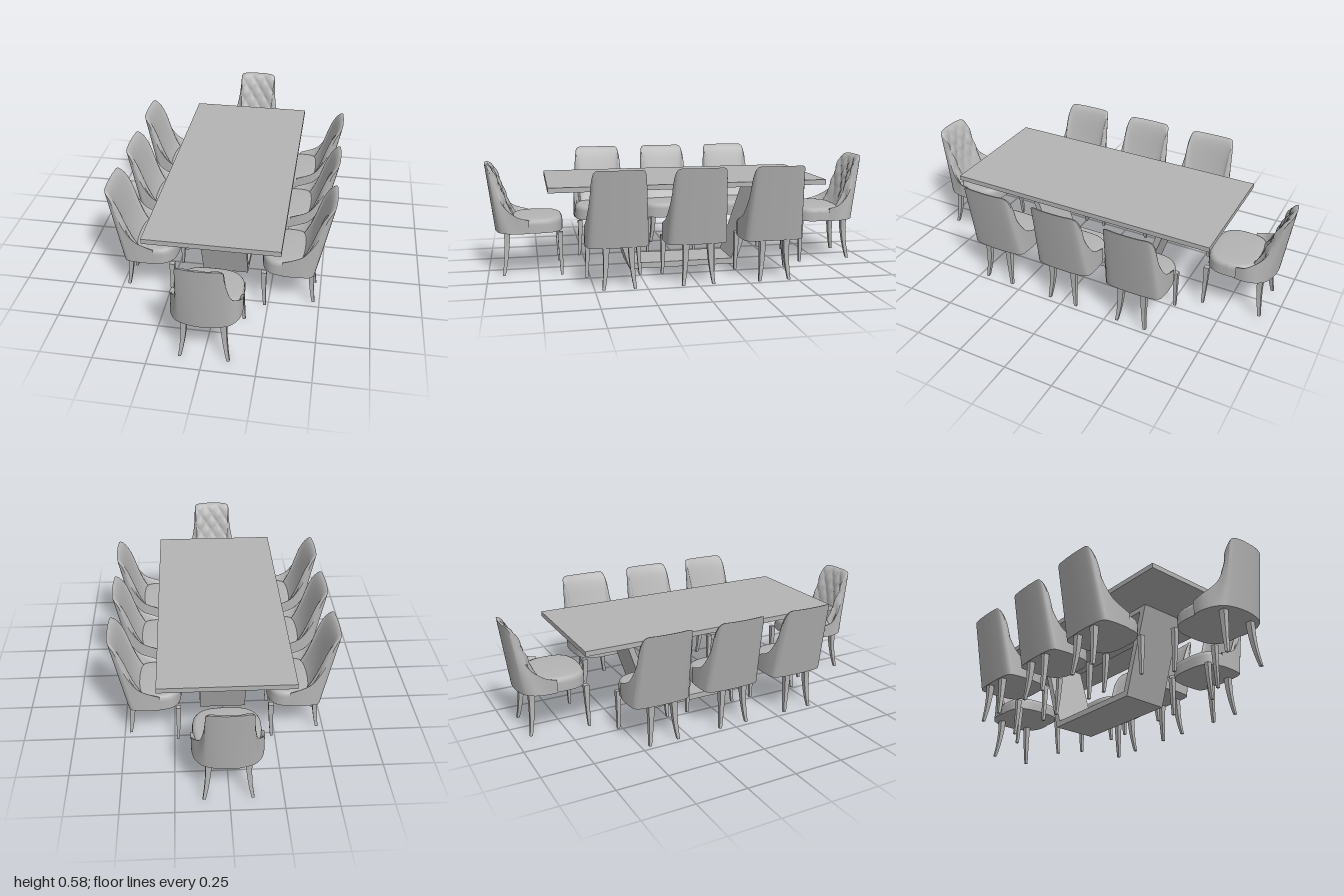
import * as THREE from 'three';

const grey = new THREE.MeshStandardMaterial({ color: 0xb4b4b4, side: THREE.DoubleSide });
grey.name = 'plain grey';

const lerp = THREE.MathUtils.lerp;
const V = (x, y, z) => new THREE.Vector3(x, y, z);

function part(name, geometry) {
  const m = new THREE.Mesh(geometry, grey);
  m.name = name;
  return m;
}

// Smooth surface through f(u, v), u and v running 0..1
function surface(f, nu, nv) {
  const pos = [], index = [];
  for (let j = 0; j <= nv; j++)
    for (let i = 0; i <= nu; i++) pos.push(...f(i / nu, j / nv).toArray());
  for (let j = 0; j < nv; j++)
    for (let i = 0; i < nu; i++) {
      const a = j * (nu + 1) + i, b = a + nu + 1;
      index.push(a, b, a + 1, b, b + 1, a + 1);
    }
  const g = new THREE.BufferGeometry();
  g.setAttribute('position', new THREE.Float32BufferAttribute(pos, 3));
  g.setIndex(index);
  g.computeVertexNormals();
  return g;
}

// Curve from one wing round the back to the other wing
function mirrored(half) {
  const pts = half.map(([x, y, z]) => V(x, y, -z));
  const other = half.slice(0, -1).reverse().map(([x, y, z]) => V(-x, y, -z));
  return new THREE.CatmullRomCurve3([...pts, ...other], false, 'centripetal');
}

// Tapered square leg, bowed outwards towards the foot
function leg(name, top, foot, wTop, wFoot, height) {
  const g = new THREE.BoxGeometry(1, 1, 1, 1, 8, 1);
  const p = g.attributes.position;
  for (let i = 0; i < p.count; i++) {
    const t = 0.5 - p.getY(i), w = lerp(wTop, wFoot, t), bow = t * t;
    p.setXYZ(i, lerp(top[0], foot[0], bow) + p.getX(i) * w, height * (1 - t),
      -lerp(top[1], foot[1], bow) + p.getZ(i) * w);
  }
  g.computeVertexNormals();
  return part(name, g);
}

// Chair facing +z; depths are measured back from the table centre
function makeChair(name, c) {
  const chair = new THREE.Group();
  chair.name = name;
  const rim = mirrored(c.rim), base = mirrored(c.base.map(([x, z]) => [x, c.y0, z]));
  const yWing = c.rim[0][1], yTop = c.rim[c.rim.length - 1][1];

  // Outer upholstery, from the base outline up to the rim
  chair.add(part('outerShell', surface((u, v) =>
    base.getPoint(u).lerp(rim.getPoint(u), v), 56, 8)));

  // Inner back, falling from the rim in a hollow curve to the seat
  chair.add(part('innerBack', surface((u, v) => {
    const T = rim.getPoint(u);
    const w = THREE.MathUtils.clamp((T.y - yWing) / (yTop - yWing), 0, 1);
    const S = V(T.x * 0.86, yWing - 0.018, T.z + 0.15 * w);
    const P1 = V(T.x * 0.95, T.y, T.z + 0.05 * w);
    const P2 = V(T.x * 0.9, lerp(S.y, T.y, 0.3), T.z + 0.07 * w);
    const p = new THREE.CubicBezierCurve3(T, P1, P2, S).getPoint(v);
    if (c.tufted) {
      // Diamond tufting
      const a = p.x / 0.07 + p.y / 0.1, b = p.x / 0.07 - p.y / 0.1;
      const puff = Math.sqrt(Math.abs(Math.sin(Math.PI * a) * Math.sin(Math.PI * b)));
      p.z += 0.014 * (puff - 0.4) * w * Math.sin(Math.PI * Math.min(1, v * 1.1));
    }
    return p;
  }, c.tufted ? 80 : 56, c.tufted ? 40 : 16)));

  // Flat underside of the back half
  chair.add(part('underside', surface((u, v) => {
    const p = base.getPoint(u);
    return v === 0 ? V(0, c.y0, -c.base[0][1]) : p;
  }, 56, 1)));

  // Domed seat cushion with a rounded-square plan
  const s = c.seat;
  const rings = [[1, c.y0], [1, s.y - 0.03], [0.985, s.y - 0.016], [0.94, s.y - 0.006], [0.86, s.y - 0.001], [0.5, s.y + 0.001], [0, s.y + 0.002]];
  const ringPoint = (u, [k, y]) => {
    const a = u * Math.PI * 2, ca = Math.cos(a), sa = Math.sin(a);
    const e = (q) => Math.sign(q) * Math.pow(Math.abs(q), 2 / 2.9);
    return V(k * s.w * e(ca), y, -s.z + k * s.d * e(sa));
  };
  chair.add(part('seatCushion', surface((u, v) => ringPoint(u, rings[Math.round(v * 6)]), 48, 6)));
  chair.add(part('seatUnderside', surface((u, v) => ringPoint(u, [v, c.y0]), 48, 1)));

  // Legs
  for (const side of [-1, 1]) {
    const f = c.frontLeg, r = c.rearLeg;
    chair.add(leg('frontLeg', [side * f[0], f[1]], [side * f[2], f[3]], 0.026, 0.013, c.y0));
    chair.add(leg('rearLeg', [side * r[0], r[1]], [side * r[2], r[3]], 0.03, 0.014, c.y0));
  }
  return chair;
}

const sideChair = {
  y0: 0.2,
  rim: [[0.15, 0.28, 0.315], [0.15, 0.293, 0.35], [0.148, 0.322, 0.41], [0.142, 0.372, 0.45], [0.135, 0.43, 0.48],
    [0.126, 0.535, 0.515], [0.112, 0.572, 0.54], [0.06, 0.575, 0.548], [0, 0.575, 0.55]],
  base: [[0.15, 0.315], [0.152, 0.35], [0.152, 0.385], [0.15, 0.41], [0.148, 0.43],
    [0.143, 0.45], [0.125, 0.465], [0.065, 0.473], [0, 0.475]],
  seat: { w: 0.147, d: 0.115, z: 0.325, y: 0.28 },
  frontLeg: [0.128, 0.226, 0.135, 0.234],
  rearLeg: [0.06, 0.452, 0.075, 0.47],
};

const endChair = {
  y0: 0.22,
  tufted: true,
  rim: [[0.165, 0.288, 0.79], [0.165, 0.3, 0.835], [0.15, 0.318, 0.87], [0.128, 0.352, 0.91], [0.113, 0.42, 0.94],
    [0.105, 0.5, 0.965], [0.099, 0.552, 0.985], [0.055, 0.56, 0.997], [0, 0.56, 1.0]],
  base: [[0.163, 0.79], [0.165, 0.83], [0.16, 0.865], [0.152, 0.89], [0.14, 0.91],
    [0.125, 0.927], [0.105, 0.94], [0.055, 0.955], [0, 0.96]],
  seat: { w: 0.159, d: 0.13, z: 0.75, y: 0.293 },
  frontLeg: [0.135, 0.638, 0.145, 0.634],
  rearLeg: [0.09, 0.9, 0.112, 0.922],
};

function makeTable() {
  const table = new THREE.Group();
  table.name = 'table';
  const top = part('tableTop', new THREE.BoxGeometry(0.64, 0.025, 1.4));
  top.position.y = 0.4575;
  table.add(top);

  // Open trapezoid pedestal: base plate, two leaning slabs and upper plate
  const trapezoid = (b, y0, t, y1) => [[-b, y0], [b, y0], [t, y1], [-t, y1]].map(([x, y]) => new THREE.Vector2(x, y));
  const shape = new THREE.Shape(trapezoid(0.285, 0, 0.43, 0.445));
  shape.holes.push(new THREE.Path(trapezoid(0.262, 0.03, 0.39, 0.42)));
  const g = new THREE.ExtrudeGeometry(shape, { depth: 0.236, bevelEnabled: false });
  g.translate(0, 0, -0.118);
  g.rotateY(Math.PI / 2);
  table.add(part('pedestal', g));
  return table;
}

export function createModel() {
  const model = new THREE.Group();
  model.name = 'diningSet';
  model.add(makeTable());

  for (const side of [-1, 1]) {
    // Three chairs along each long side
    for (const z of [-0.383, 0, 0.383]) {
      const chair = makeChair('sideChair', sideChair);
      chair.rotation.y = -side * Math.PI / 2;
      chair.position.z = z;
      model.add(chair);
    }
    // One tufted chair at each end
    const chair = makeChair('endChair', endChair);
    chair.rotation.y = side > 0 ? Math.PI : 0;
    chair.position.x = 0.004;
    model.add(chair);
  }
  return model;
}
